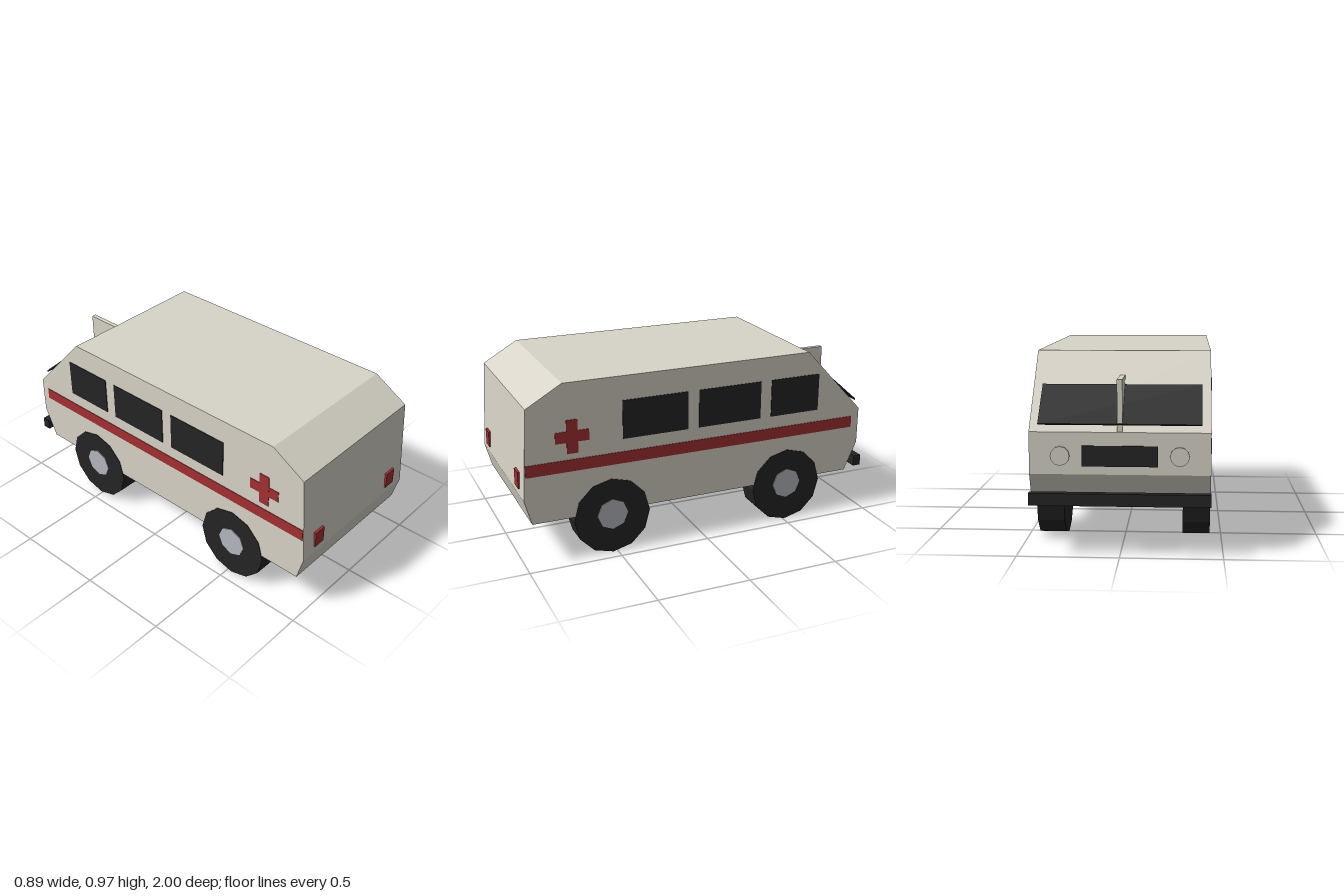
import * as THREE from 'three';

const paint = (name, color) => {
  const m = new THREE.MeshStandardMaterial({ color });
  m.name = name;
  return m;
};

export function createModel() {
  const cream = paint('cream paint', 0xd8d4c8);
  const black = paint('black glass and rubber', 0x252525);
  const red = paint('red', 0xa33032);
  const steel = paint('steel', 0xb5b8c0);

  const van = new THREE.Group();
  van.name = 'van';
  const HALF = 0.436; // half width of the body

  const add = (name, geometry, material, x = 0, y = 0, z = 0) => {
    const mesh = new THREE.Mesh(geometry, material);
    mesh.name = name;
    mesh.position.set(x, y, z);
    van.add(mesh);
    return mesh;
  };
  const box = (name, material, w, h, d, x, y, z) =>
    add(name, new THREE.BoxGeometry(w, h, d), material, x, y, z);

  // Body: side profile (z, y) extruded across the width
  const profile = new THREE.Shape([
    [0.957, 0.238], [0.994, 0.372], [0.965, 0.858], [0.773, 0.97],
    [-0.625, 0.97], [-0.967, 0.605], [-0.967, 0.4], [-0.895, 0.238],
  ].map(([z, y]) => new THREE.Vector2(z, y)));
  const bodyGeometry = new THREE.ExtrudeGeometry(profile, { depth: 2 * HALF, bevelEnabled: false });
  bodyGeometry.translate(0, 0, -HALF).rotateY(-Math.PI / 2);
  add('body', bodyGeometry, cream);

  // Windscreen, its upright divider, grille and bumper at the -z end
  box('windscreen', black, 0.785, 0.009, 0.257, 0, 0.727, -0.872).rotation.x = -0.72;
  box('windscreenDivider', cream, 0.026, 0.25, 0.25, 0, 0.732, -0.843);
  box('grille', black, 0.365, 0.1, 0.012, 0, 0.49, -0.967);
  box('bumper', black, 2 * HALF + 0.004, 0.06, 0.045, 0, 0.282, -0.978);

  for (const side of [1, -1]) {
    // Side windows, as [rear z, front z]
    for (const [a, b] of [[0.459, 0.094], [0.03, -0.335], [-0.4, -0.694]]) {
      box('sideWindow', black, 0.008, 0.208, a - b, side * HALF, 0.736, (a + b) / 2);
    }

    // Stripe and cross
    box('stripe', red, 0.007, 0.064, 1.9, side * HALF, 0.53, 0.03);
    box('crossUpright', red, 0.007, 0.18, 0.06, side * HALF, 0.685, 0.73);
    box('crossBar', red, 0.006, 0.06, 0.18, side * HALF, 0.685, 0.73);

    // Headlight and tail light
    const lamp = new THREE.CylinderGeometry(0.047, 0.047, 0.02, 12).rotateX(Math.PI / 2);
    add('headlight', lamp, cream, side * 0.287, 0.49, -0.967);
    box('tailLight', red, 0.07, 0.09, 0.02, side * 0.315, 0.454, 0.989);

    // Wheels with hubs
    for (const z of [0.525, -0.512]) {
      const tyre = new THREE.CylinderGeometry(0.21, 0.21, 0.138, 12).toNonIndexed();
      tyre.computeVertexNormals();
      add('tyre', tyre.rotateZ(Math.PI / 2), black, side * 0.37, 0.21, z);
      const hub = new THREE.CylinderGeometry(0.085, 0.085, 0.02, 8).rotateZ(Math.PI / 2);
      add('hub', hub, steel, side * 0.433, 0.22, z);
    }
  }
  return van;
}
